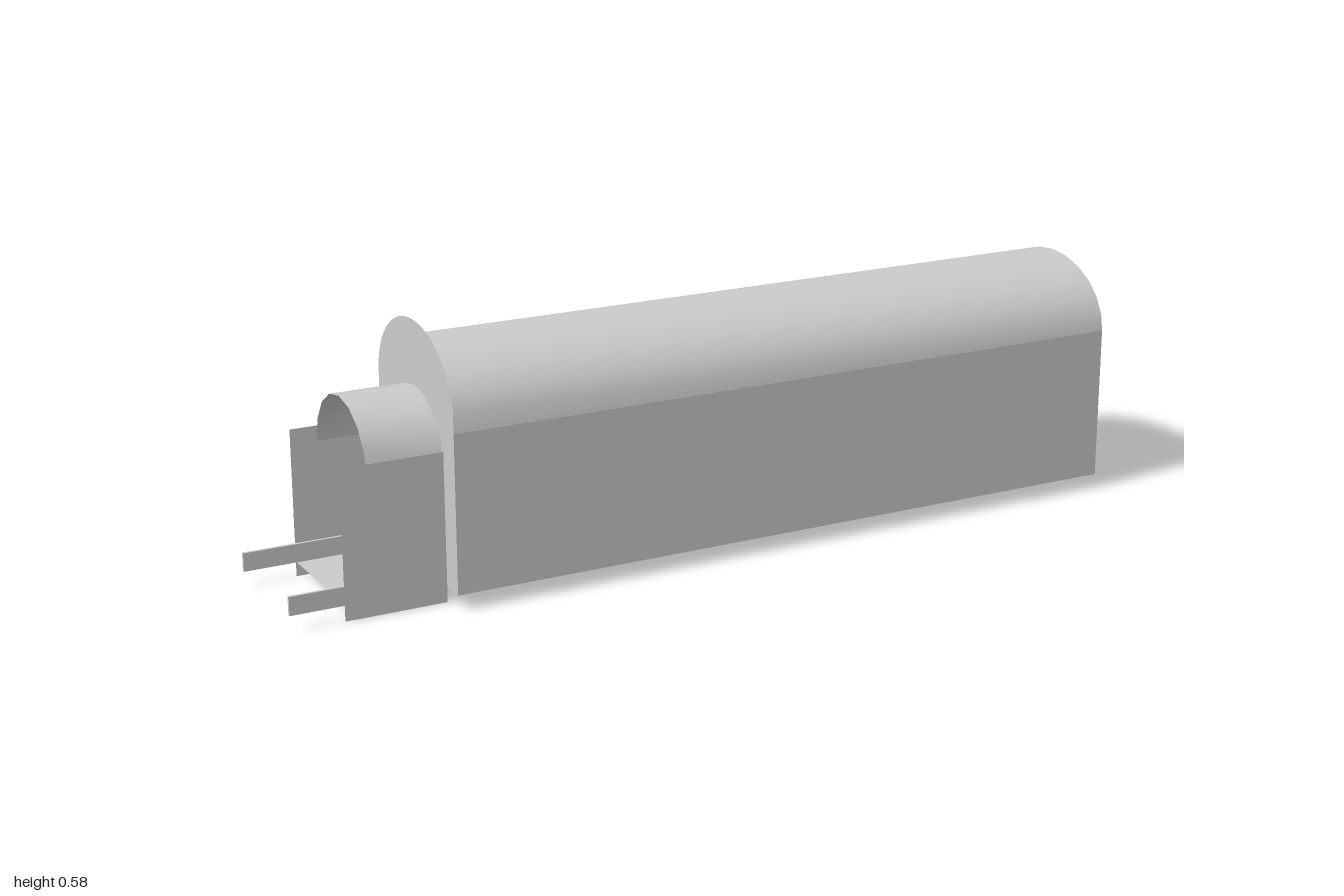
import * as THREE from 'three';

const material = new THREE.MeshStandardMaterial({ color: 0xcccccc, side: THREE.DoubleSide });

// Half-ellipse in the z/y plane, running from +z to -z.
function arc(halfWidth, springY, rise, segments) {
  return Array.from({ length: segments + 1 }, (_, i) => {
    const a = (i / segments) * Math.PI;
    return new THREE.Vector2(halfWidth * Math.cos(a), springY + rise * Math.sin(a));
  });
}

// Arc with straight legs down to a base.
function archway(halfWidth, baseY, springY, rise, segments) {
  return [
    new THREE.Vector2(halfWidth, baseY),
    ...arc(halfWidth, springY, rise, segments),
    new THREE.Vector2(-halfWidth, baseY),
  ];
}

// Open sheet joining two matching z/y profiles at two x positions.
function loft(profileA, xA, profileB, xB) {
  const positions = [];
  const index = [];
  profileA.forEach((p, i) => {
    const q = profileB[i];
    positions.push(xA, p.y, p.x, xB, q.y, q.x);
    if (i > 0) {
      const k = 2 * i;
      index.push(k - 2, k - 1, k, k, k - 1, k + 1);
    }
  });
  const geometry = new THREE.BufferGeometry();
  geometry.setAttribute('position', new THREE.Float32BufferAttribute(positions, 3));
  geometry.setIndex(index);
  geometry.computeVertexNormals();
  return geometry;
}

export function createModel() {
  const model = new THREE.Group();
  model.name = 'archedTunnel';

  const add = (name, geometry, x = 0, y = 0, z = 0) => {
    const mesh = new THREE.Mesh(geometry, material);
    mesh.name = name;
    mesh.position.set(x, y, z);
    model.add(mesh);
    return mesh;
  };

  // Flat sheets given by their x range and their y or z extent.
  const wall = (name, x0, x1, y0, y1, z) =>
    add(name, new THREE.PlaneGeometry(x1 - x0, y1 - y0), (x0 + x1) / 2, (y0 + y1) / 2, z);
  const floor = (name, x0, x1, y, halfWidth) =>
    add(name, new THREE.PlaneGeometry(x1 - x0, 2 * halfWidth).rotateX(-Math.PI / 2), (x0 + x1) / 2, y, 0);
  const bar = (name, x0, x1, y0, y1, z0, z1) =>
    add(name, new THREE.BoxGeometry(x1 - x0, y1 - y0, Math.abs(z1 - z0)),
      (x0 + x1) / 2, (y0 + y1) / 2, (z0 + z1) / 2);

  const joint = -0.65; // where the porch meets the hall
  const base = 0.035;
  const liningEnd = 0.69;

  // Main hall: floor and vaulted roof
  floor('hallFloor', joint, 1, base, 0.205);
  const vault = arc(0.205, 0.39, 0.153, 12);
  add('hallRoof', loft(vault, joint, vault, 1));

  // Porch: floor and short barrel roof
  floor('porchFloor', -0.88, joint, base, 0.147);
  const porchArch = arc(0.147, 0.3, 0.142, 8);
  add('porchRoof', loft(porchArch, -0.82, porchArch, joint));

  // Paired walls, skirtings and rails
  for (const side of [1, -1]) {
    const prefix = side > 0 ? 'front' : 'back';
    wall(prefix + 'HallWall', joint, 1, base, 0.39, side * 0.205);
    wall(prefix + 'PorchWall', -0.88, joint, 0, 0.335, side * 0.147);
    bar(prefix + 'Skirting', joint, liningEnd, base, 0.077, side * 0.183, side * 0.204);
    bar(prefix + 'Rail', -1, joint, base, 0.077, side * 0.139, side * 0.146);
  }

  // End plate with an arched doorway
  const plate = new THREE.Shape(archway(0.205, 0.032, 0.42, 0.165, 32));
  plate.holes.push(new THREE.Path(archway(0.147, base, 0.3, 0.142, 8)));
  add('endPlate', new THREE.ShapeGeometry(plate).rotateY(Math.PI / 2), joint);

  // Splayed surround inside the doorway
  add('doorSurround', loft(
    archway(0.147, base, 0.3, 0.142, 8), joint,
    archway(0.183, base, 0.3, 0.177, 8), joint + 0.02));

  // Thin lining under the vault
  const lining = new THREE.Shape([
    ...arc(0.204, 0.39, 0.152, 12),
    ...arc(0.188, 0.39, 0.135, 12).reverse(),
  ]);
  const liningGeometry = new THREE.ExtrudeGeometry(lining, { depth: liningEnd - joint, bevelEnabled: false });
  add('vaultLining', liningGeometry.rotateY(Math.PI / 2), joint);

  return model;
}
